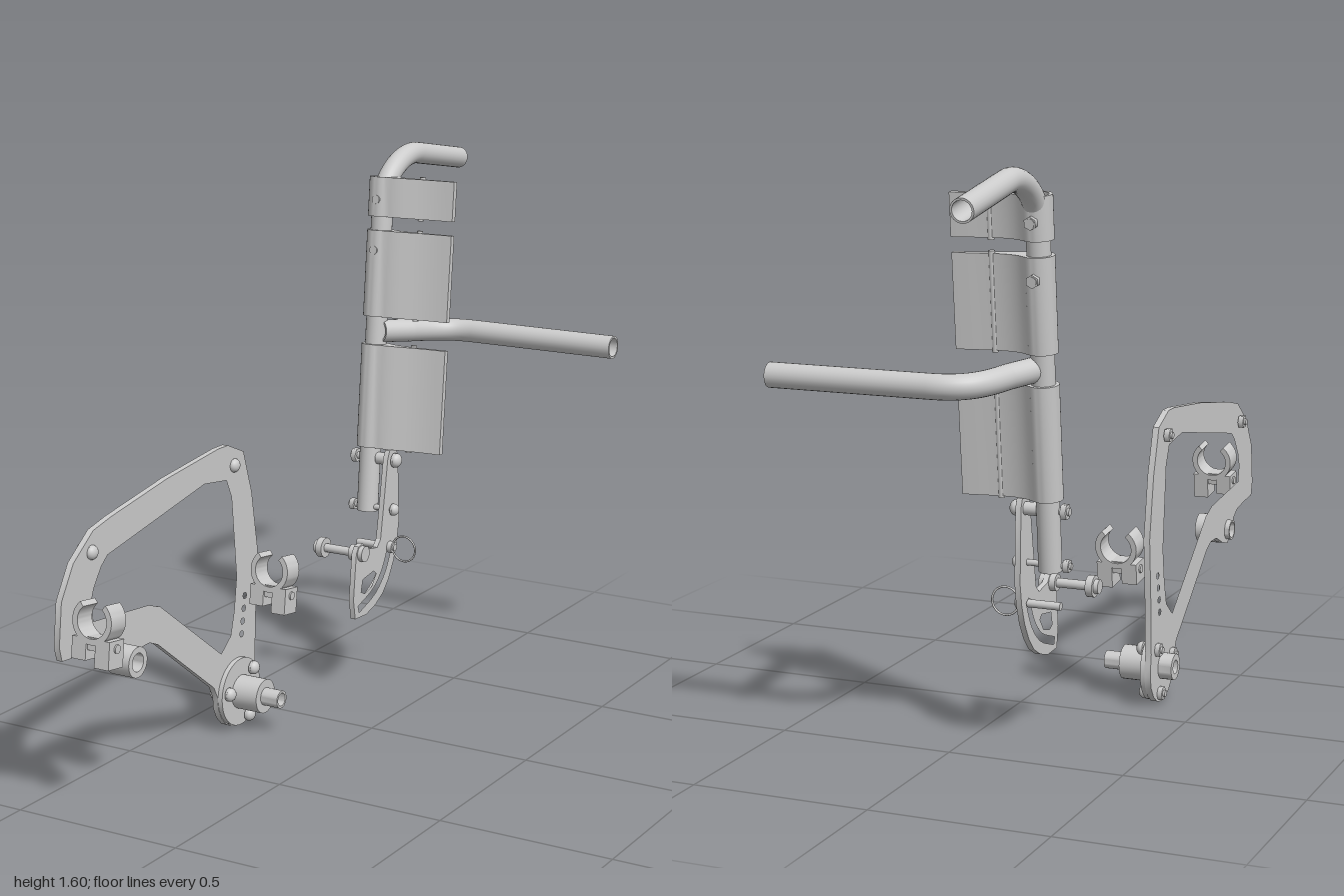
import * as THREE from 'three';
import { toCreasedNormals } from 'three/addons/utils/BufferGeometryUtils.js';

const V = (x, y, z) => new THREE.Vector3(x, y, z);
const grey = new THREE.MeshStandardMaterial({ color: 0xcccccc });
const greyDouble = new THREE.MeshStandardMaterial({ color: 0xcccccc, side: THREE.DoubleSide });

function add(parent, name, geometry, material = grey) {
  const mesh = new THREE.Mesh(geometry, material);
  mesh.name = name;
  parent.add(mesh);
  return mesh;
}

// Points given as [z, y], mirrored so that the extrusion can be turned to face +x
const profile = (pts) => pts.map(([z, y]) => new THREE.Vector2(-z, y));

// Small six-sided hole
function hole(z, y, r) {
  const pts = [];
  for (let i = 0; i < 6; i++) pts.push([z + r * Math.cos(i * Math.PI / 3), y + r * Math.sin(i * Math.PI / 3)]);
  return new THREE.Path(profile(pts));
}

// Flat plate standing in the zy plane, from x0 to x1
function plate(parent, name, shape, x0, x1) {
  const geo = new THREE.ExtrudeGeometry(shape, { depth: x1 - x0, bevelEnabled: false });
  geo.rotateY(Math.PI / 2).translate(x0, 0, 0);
  return add(parent, name, toCreasedNormals(geo, 0.6));
}

// Round bar along x, optionally bored through
function bar(parent, name, x0, x1, y, z, r, bore = 0, sides = 24) {
  const h = x1 - x0;
  let geo;
  if (bore) {
    const pts = [[bore, 0], [r, 0], [r, h], [bore, h], [bore, 0]].map((p) => new THREE.Vector2(...p));
    geo = toCreasedNormals(new THREE.LatheGeometry(pts, sides), 0.6);
  } else {
    geo = new THREE.CylinderGeometry(r, r, h, sides).translate(0, h / 2, 0);
  }
  geo.rotateZ(-Math.PI / 2).translate(x0, y, z);
  return add(parent, name, geo);
}

// Bolt along x with a rounded head on one end and a hexagonal nut on the other
function bolt(parent, name, x0, x1, y, z, r = 0.02) {
  const group = new THREE.Group();
  group.name = name;
  bar(group, 'shank', x0, x1 - r * 0.5, y, z, r * 0.5, 0, 12);
  bar(group, 'nut', x0 + 0.006, x0 + 0.022, y, z, r, 0, 6);
  const head = add(group, 'head', new THREE.SphereGeometry(r, 16, 8, 0, Math.PI * 2, 0, Math.PI / 2));
  head.geometry.scale(1, 0.8, 1).rotateZ(-Math.PI / 2);
  head.position.set(x1 - r * 0.8, y, z);
  bar(group, 'washer', x1 - r * 0.8 - 0.006, x1 - r * 0.8, y, z, r);
  parent.add(group);
}

// Hollow tube along a curve, with annular ends
function pipe(parent, name, curve, r) {
  const group = new THREE.Group();
  group.name = name;
  add(group, 'outerWall', new THREE.TubeGeometry(curve, 110, r, 24), greyDouble);
  add(group, 'innerWall', new THREE.TubeGeometry(curve, 110, r * 0.82, 24), greyDouble);
  for (const t of [0, 1]) {
    const rim = add(group, 'rim', new THREE.RingGeometry(r * 0.82, r, 24), greyDouble);
    const p = curve.getPointAt(t);
    rim.position.copy(p);
    rim.lookAt(p.clone().add(curve.getTangentAt(t)));
  }
  parent.add(group);
}

function path(...curves) {
  const result = new THREE.CurvePath();
  curves.forEach((c) => result.add(c));
  return result;
}

// Claw clip: open ring on a small split foot, held by a cross bolt
function clip(parent, name, y, z) {
  const group = new THREE.Group();
  group.name = name;
  const a0 = Math.PI * 0.28, a1 = Math.PI * 0.72;
  const ring = new THREE.Shape();
  ring.absarc(0, 0.03, 0.062, a0, a1 - Math.PI * 2, true);
  ring.absarc(0, 0.03, 0.046, a1 - Math.PI * 2, a0, false);
  const opts = { depth: 0.064, bevelEnabled: false, curveSegments: 18 };
  add(group, 'claw', toCreasedNormals(new THREE.ExtrudeGeometry(ring, opts).translate(0, 0, -0.032), 0.6));
  for (const [s, h] of [[-1, 0.06], [1, 0.075]]) {
    const jaw = add(group, 'footJaw', new THREE.BoxGeometry(0.045, h, 0.064));
    jaw.position.set(s * 0.037, -0.015 - h / 2, 0);
  }
  add(group, 'footWeb', new THREE.BoxGeometry(0.04, 0.035, 0.05)).position.y = -0.03;
  bar(group, 'crossBolt', -0.064, 0.064, -0.037, 0, 0.012, 0, 16);
  group.position.set(-0.262, y, z);
  group.rotation.x = -0.13;
  parent.add(group);
}

function buildSidePlate(root) {
  const side = new THREE.Group();
  side.name = 'sideFrame';
  root.add(side);

  // Frame plate with a rounded lower lobe around the hub
  const outer = [[1, 0.48], [0.985, 0.6], [0.93, 0.69], [0.84, 0.757], [0.76, 0.775], [0.5, 0.818], [0.25, 0.845],
    [0.2, 0.845], [0.12, 0.81], [0.08, 0.68], [0.052, 0.5], [0.065, 0.345], [0.075, 0.16]];
  for (let i = 0; i <= 10; i++) {
    const a = THREE.MathUtils.degToRad(15 - i * 20);
    outer.push([0.17 - 0.102 * Math.cos(a), 0.105 + 0.105 * Math.sin(a)]);
  }
  outer.push([0.29, 0.15], [0.56, 0.36], [0.6, 0.377], [0.65, 0.375], [0.71, 0.348], [0.755, 0.337], [0.79, 0.36],
    [0.815, 0.405], [0.85, 0.425], [0.92, 0.435], [0.99, 0.44]);
  const shape = new THREE.Shape(profile(outer));
  shape.holes.push(new THREE.Path(profile([[0.86, 0.56], [0.845, 0.6], [0.81, 0.65], [0.78, 0.675], [0.32, 0.76], [0.21, 0.745],
    [0.185, 0.69], [0.165, 0.45], [0.18, 0.35], [0.2, 0.28], [0.25, 0.24], [0.545, 0.465], [0.6, 0.485], [0.85, 0.51]])));
  for (let i = 0; i < 4; i++) shape.holes.push(hole(0.143 - i * 0.0065, 0.27 + i * 0.037, 0.01));
  shape.holes.push(hole(0.17, 0.105, 0.027));
  plate(side, 'framePlate', shape, -0.37, -0.352);

  bolt(side, 'frontBolt', -0.395, -0.335, 0.7, 0.85);
  bolt(side, 'topBolt', -0.395, -0.335, 0.78, 0.17);

  // Bored standoff near the front
  bar(side, 'standoff', -0.352, -0.28, 0.38, 0.755, 0.043, 0.026);
  bar(side, 'standoffWasher', -0.385, -0.37, 0.38, 0.755, 0.03, 0.024);

  // Stepped hub with three flange bolts
  bar(side, 'hubFlange', -0.352, -0.338, 0.105, 0.17, 0.1, 0.022, 40);
  bar(side, 'hubBody', -0.338, -0.255, 0.105, 0.17, 0.05, 0.022);
  bar(side, 'hubNose', -0.255, -0.2, 0.105, 0.17, 0.026, 0.019);
  bar(side, 'hubCap', -0.41, -0.37, 0.105, 0.17, 0.038, 0.02);
  for (const [z, y] of [[0.245, 0.12], [0.12, 0.165], [0.145, 0.03]]) bolt(side, 'flangeBolt', -0.39, -0.31, y, z);

  clip(side, 'frontClip', 0.527, 0.95);
  clip(side, 'rearClip', 0.437, 0.105);
}

function buildPost(root) {
  const post = new THREE.Group();
  post.name = 'backPost';
  root.add(post);
  const px = -0.265;
  const at = (y) => V(px, y, -0.378 - 0.098 * y);

  // Upright with its rear push handle
  pipe(post, 'uprightAndHandle', path(
    new THREE.LineCurve3(at(0.515), at(1.45)),
    new THREE.CubicBezierCurve3(at(1.45), at(1.52), V(px, 1.585, -0.64), V(px, 1.567, -0.73)),
    new THREE.LineCurve3(V(px, 1.567, -0.73), V(px, 1.522, -0.993))), 0.032);

  // Cross handle bending sideways from the upright
  pipe(post, 'crossHandle', path(
    new THREE.LineCurve3(V(-0.25, 1.062, -0.48), V(-0.205, 1.053, -0.57)),
    new THREE.CubicBezierCurve3(V(-0.205, 1.053, -0.57), V(-0.175, 1.043, -0.655), V(-0.145, 1.04, -0.712), V(-0.05, 1.04, -0.712)),
    new THREE.LineCurve3(V(-0.05, 1.04, -0.712), V(0.41, 1.04, -0.712))), 0.034);

  // Tilted carrier for sleeves and wings
  const tilt = new THREE.Group();
  tilt.name = 'backPads';
  tilt.position.set(px, 0, -0.378);
  tilt.rotation.x = -Math.atan(0.098);
  post.add(tilt);

  // Wing section: round sleeve at left sweeping into a thin blade, drawn as (x, -z)
  const section = new THREE.Shape();
  section.absarc(0, 0, 0.042, Math.PI * 0.3, Math.PI * 1.72, false);
  section.bezierCurveTo(0.085, -0.035, 0.12, 0, 0.235, 0.004);
  section.lineTo(0.235, 0.022);
  section.bezierCurveTo(0.15, 0.016, 0.08, -0.008, 0.0247, 0.034);
  section.holes.push(new THREE.Path().absarc(0, 0, 0.032, 0, Math.PI * 2, true));
  for (const [name, y0, y1] of [['lowerPad', 0.713, 1.025], ['middlePad', 1.108, 1.365], ['upperPad', 1.405, 1.522]]) {
    const geo = new THREE.ExtrudeGeometry(section, { depth: y1 - y0, bevelEnabled: false, curveSegments: 10 });
    add(tilt, name, toCreasedNormals(geo.rotateX(-Math.PI / 2).translate(0, y0 * 1.004, 0), 0.6));
    const peg = add(tilt, 'padPeg', new THREE.CylinderGeometry(0.009, 0.009, y1 - y0 + 0.012, 14));
    peg.position.set(0.13, (y0 + y1) / 2 * 1.004, -0.004);
  }

  // Screws through the upper sleeves
  for (const y of [1.305, 1.455]) {
    const screw = add(tilt, 'padScrew', new THREE.CylinderGeometry(0.013, 0.013, 0.1, 14));
    screw.geometry.rotateX(Math.PI / 2);
    screw.position.set(0, y * 1.004, -0.006);
    const nut = add(tilt, 'padNut', new THREE.CylinderGeometry(0.018, 0.018, 0.014, 6).rotateX(Math.PI / 2));
    nut.position.set(0, y * 1.004, -0.047);
  }

  // Slotted latch bracket at the foot
  const shape = new THREE.Shape(profile([[-0.408, 0.69], [-0.42, 0.713], [-0.44, 0.72], [-0.46, 0.71], [-0.47, 0.685], [-0.476, 0.48],
    [-0.465, 0.42], [-0.445, 0.365], [-0.415, 0.315], [-0.38, 0.278], [-0.335, 0.253], [-0.28, 0.237], [-0.215, 0.24], [-0.205, 0.3],
    [-0.212, 0.36], [-0.222, 0.44], [-0.235, 0.46], [-0.26, 0.464], [-0.285, 0.44], [-0.345, 0.43], [-0.365, 0.45], [-0.378, 0.52]]));
  const slot = new THREE.CatmullRomCurve3([V(0.425, 0.425, 0), V(0.385, 0.35, 0), V(0.33, 0.3, 0), V(0.235, 0.265, 0)]).getPoints(12);
  const edge = (s) => slot.map((p, i) => {
    const a = slot[Math.max(i - 1, 0)], b = slot[Math.min(i + 1, 12)];
    const d = b.clone().sub(a).normalize();
    return new THREE.Vector2(p.x - d.y * s, p.y + d.x * s);
  });
  shape.holes.push(new THREE.Path([...edge(0.011), ...edge(-0.011).reverse()]));
  shape.holes.push(new THREE.Path(profile([[-0.25, 0.315], [-0.26, 0.352], [-0.325, 0.362], [-0.338, 0.35], [-0.31, 0.315], [-0.27, 0.305]])));
  plate(post, 'latchBracket', shape, -0.198, -0.182);

  bolt(post, 'upperBracketBolt', -0.325, -0.155, 0.68, -0.44, 0.022);
  bolt(post, 'lowerBracketBolt', -0.325, -0.155, 0.53, -0.425, 0.018);
  bar(post, 'bracketSpacer', -0.235, -0.198, 0.68, -0.44, 0.018);

  // Long hook pin with collars
  bar(post, 'hookPin', -0.33, -0.17, 0.435, -0.252, 0.013);
  bar(post, 'hookPinHead', -0.325, -0.305, 0.435, -0.252, 0.03);
  bar(post, 'hookPinTip', -0.338, -0.325, 0.435, -0.252, 0.02);
  bar(post, 'hookPinCollar', -0.215, -0.168, 0.435, -0.252, 0.024);

  // Locking pin with pull ring
  bar(post, 'lockPin', -0.29, -0.16, 0.415, -0.415, 0.011);
  bar(post, 'lockPinHead', -0.18, -0.165, 0.415, -0.415, 0.018);
  add(post, 'pullRing', new THREE.TorusGeometry(0.039, 0.003, 8, 36)).position.set(-0.13, 0.415, -0.415);
}

export function createModel() {
  const root = new THREE.Group();
  root.name = 'chairSideAssembly';
  buildSidePlate(root);
  buildPost(root);
  return root;
}
